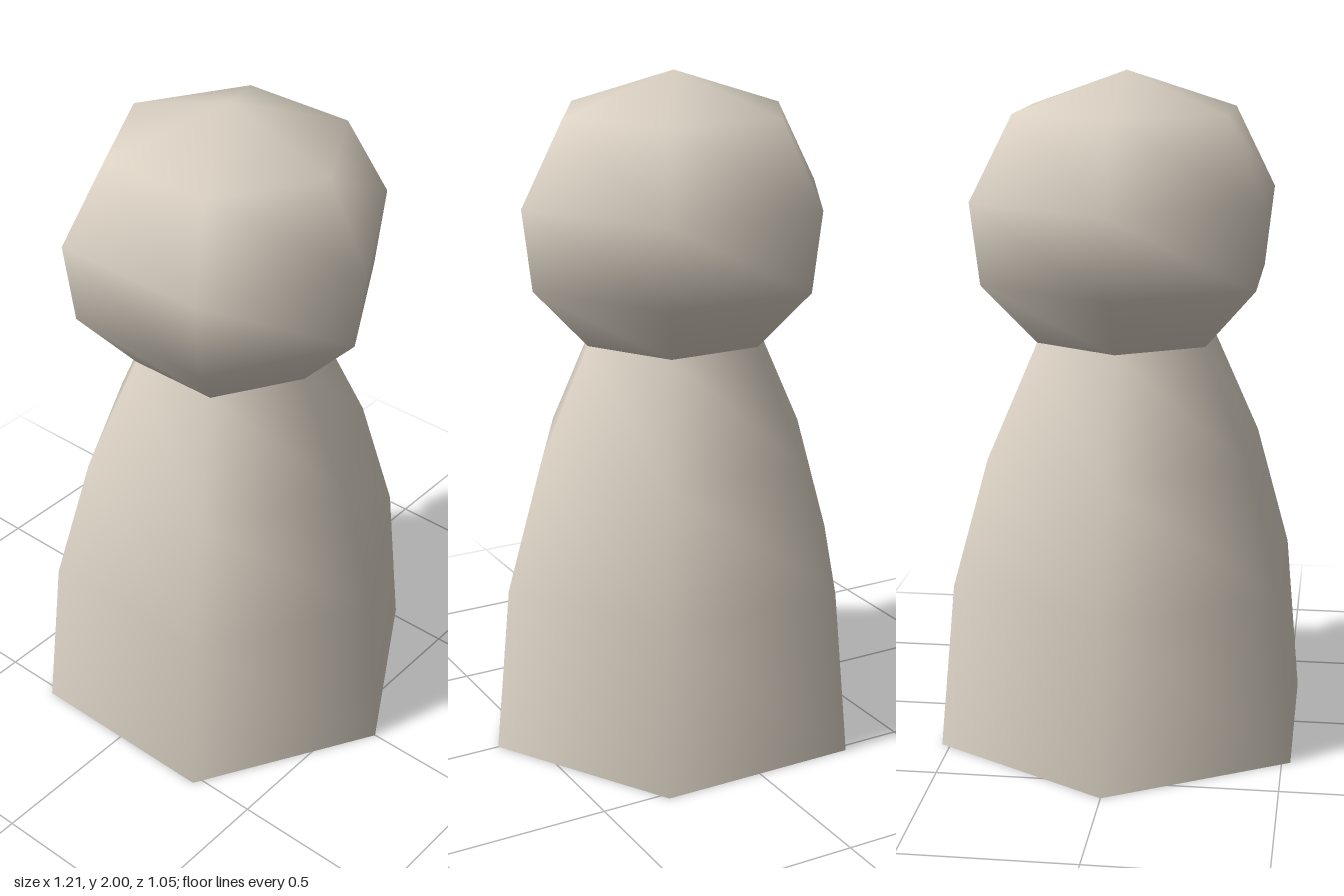
import * as THREE from 'three';

const SIDES = 6;

// Six-sided turned shape with a corner on the +x axis
function turned(profile) {
  const points = profile.map(([r, y]) => new THREE.Vector2(r, y));
  return new THREE.LatheGeometry(points, SIDES, Math.PI / 2);
}

export function createModel() {
  const group = new THREE.Group();
  group.name = 'pawnFigure';
  const paleWood = new THREE.MeshStandardMaterial({ color: 0xd9d0c2 });
  paleWood.name = 'paleWood';

  const add = (name, geometry) => {
    const mesh = new THREE.Mesh(geometry, paleWood);
    mesh.name = name;
    group.add(mesh);
  };

  // Tapered body, narrowing to the neck
  add('body', turned([[0.607, 0], [0.558, 0.5], [0.445, 0.88], [0.286, 1.217]]));

  // Faceted round head with smooth shading over the crown
  const head = turned([[0.286, 1.217], [0.458, 1.4], [0.488, 1.64], [0.355, 1.885], [0, 2]]);
  const { position, normal } = head.attributes;
  for (let i = 0; i < position.count; i++) {
    if (position.getY(i) > 1.99) normal.setXYZ(i, 0, 1, 0);
  }
  add('head', head);

  // Flat underside
  add('base', new THREE.CircleGeometry(0.607, SIDES).rotateX(Math.PI / 2));

  return group;
}
